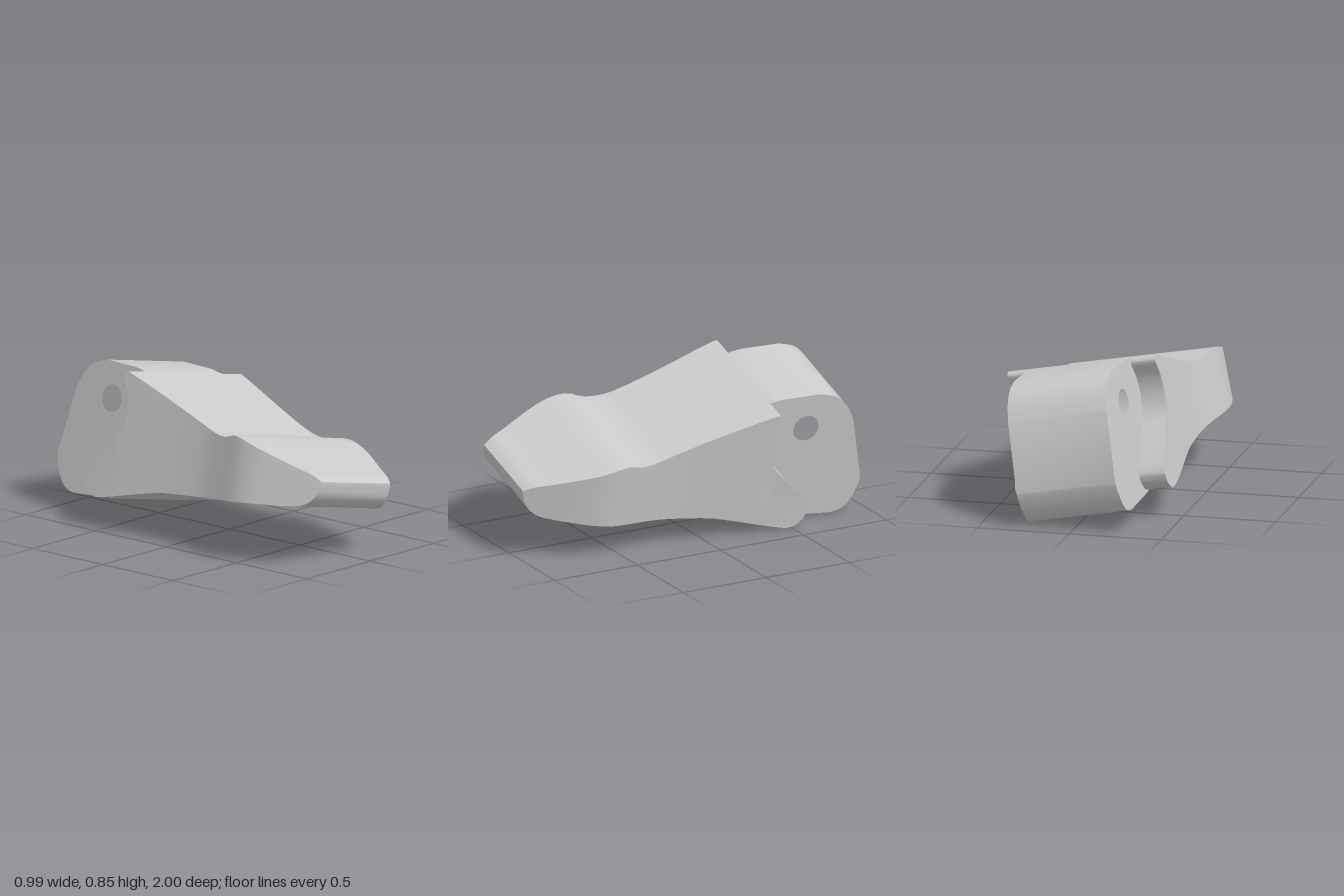
import * as THREE from 'three';
import { toCreasedNormals } from 'three/addons/utils/BufferGeometryUtils.js';

const MID = -0.1; // middle of both parts across their width
const material = new THREE.MeshStandardMaterial({ color: 0xcccccc });

const spline = (pairs, n) => new THREE.SplineCurve(pairs.map(([a, b]) => new THREE.Vector2(a, b))).getPoints(n);

// Returns a function that looks up a spline's second value at a given z.
function lookup(pairs) {
  const pts = spline(pairs, 300);
  return z => {
    let i = 1;
    while (i < pts.length - 1 && pts[i].x < z) i++;
    const a = pts[i - 1], b = pts[i];
    const t = THREE.MathUtils.clamp((z - a.x) / (b.x - a.x || 1), 0, 1);
    return a.y + (b.y - a.y) * t;
  };
}

// All profiles are (z, y) pairs in the tilted frame of the part.
const topAt = lookup([[-0.397, 0.762], [-0.285, 0.729], [-0.03, 0.647], [0.17, 0.583], [0.27, 0.557], [0.369, 0.553],
  [0.437, 0.575], [0.517, 0.569], [0.669, 0.529], [0.835, 0.482], [0.93, 0.458], [0.985, 0.43]]);
const bottomAt = lookup([[-0.506, 0.068], [-0.426, 0.083], [-0.125, 0.159], [-0.025, 0.177], [0.275, 0.208],
  [0.674, 0.25], [0.82, 0.268], [0.91, 0.29], [0.966, 0.345], [0.985, 0.41]]);
const halfWidthAt = lookup([[-0.62, 0.425], [-0.4, 0.418], [-0.2, 0.397], [0, 0.378], [0.2, 0.37], [0.33, 0.386],
  [0.48, 0.414], [0.56, 0.415], [0.65, 0.395], [0.8, 0.335], [0.985, 0.256]]);

// Wedge-shaped front body: slices along z plus a hooked rear edge
function wedgeGeometry() {
  const N = 48, z0 = -0.34, z1 = 0.985;
  const top = [], bottom = [];
  for (let i = 0; i <= N; i++) {
    const z = z0 + (z1 - z0) * Math.sin((i / N) * Math.PI / 2);
    top.push(new THREE.Vector2(z, topAt(z)));
    bottom.push(new THREE.Vector2(z, bottomAt(z)));
  }
  const rear = spline([[-0.426, 0.083], [-0.506, 0.068], [-0.566, 0.09], [-0.602, 0.144], [-0.593, 0.2], [-0.48, 0.344],
    [-0.39, 0.451], [-0.363, 0.553], [-0.375, 0.645], [-0.415, 0.725], [-0.415, 0.75], [-0.397, 0.762]], 60);

  const pos = [];
  const corner = (p, side) => pos.push(MID + side * halfWidthAt(p.x), p.y, p.x);
  const capTriangle = (a, b, c) => {
    [a, b, c].forEach(p => corner(p, 1));
    [c, b, a].forEach(p => corner(p, -1));
  };
  // side faces
  for (let i = 0; i < N; i++) {
    capTriangle(top[i], top[i + 1], bottom[i + 1]);
    capTriangle(top[i], bottom[i + 1], bottom[i]);
  }
  const tail = [top[0], bottom[0], ...rear];
  const flat = tail.map(p => new THREE.Vector2(-p.x, p.y));
  for (const [a, b, c] of THREE.ShapeUtils.triangulateShape(flat, [])) capTriangle(tail[a], tail[b], tail[c]);

  // wall running around the outline
  const outline = [...top, ...bottom.slice().reverse(), ...rear];
  outline.forEach((a, i) => {
    const b = outline[(i + 1) % outline.length];
    corner(b, 1); corner(a, 1); corner(a, -1);
    corner(b, 1); corner(a, -1); corner(b, -1);
  });
  const geometry = new THREE.BufferGeometry();
  geometry.setAttribute('position', new THREE.Float32BufferAttribute(pos, 3));
  return toCreasedNormals(geometry, 0.6);
}

// Narrower rear block with rounded corners and a cross hole
function rearBlockGeometry() {
  const half = 0.28;
  const upperCorner = spline([[-0.7, 0.771], [-0.79, 0.742], [-0.855, 0.68], [-0.9, 0.595]], 12);
  const lowerCorner = spline([[-0.973, 0.225], [-0.965, 0.19], [-0.935, 0.116], [-0.885, 0.055], [-0.815, 0.035]], 14);
  const start = [[-0.2, 0.2], [-0.2, 0.65], [-0.36, 0.738], [-0.42, 0.763], [-0.48, 0.772]].map(p => new THREE.Vector2(...p));
  const end = new THREE.Vector2(-0.52, 0.06);
  const shape = new THREE.Shape([...start, ...upperCorner, ...lowerCorner, end].map(p => new THREE.Vector2(-p.x, p.y)));
  const hole = new THREE.Path();
  hole.absarc(0.628, 0.576, 0.073, 0, Math.PI * 2, true);
  shape.holes.push(hole);
  const geometry = new THREE.ExtrudeGeometry(shape, { depth: half * 2, bevelEnabled: false, curveSegments: 24 });
  geometry.rotateY(Math.PI / 2).translate(MID - half, 0, 0);
  return toCreasedNormals(geometry, 0.6);
}

export function createModel() {
  const model = new THREE.Group();
  model.name = 'wedgeTooth';

  // The whole part rests rolled and slightly turned
  const tilted = new THREE.Group();
  tilted.name = 'tiltedBody';
  const x = new THREE.Vector3(0.977, -0.195, 0.078).normalize();
  const y = new THREE.Vector3(-0.08, 0, 0.997).cross(x).normalize();
  const z = x.clone().cross(y);
  tilted.quaternion.setFromRotationMatrix(new THREE.Matrix4().makeBasis(x, y, z));
  model.add(tilted);

  for (const [name, geometry] of [['wedge', wedgeGeometry()], ['rearBlock', rearBlockGeometry()]]) {
    const mesh = new THREE.Mesh(geometry, material);
    mesh.name = name;
    tilted.add(mesh);
  }
  return model;
}
